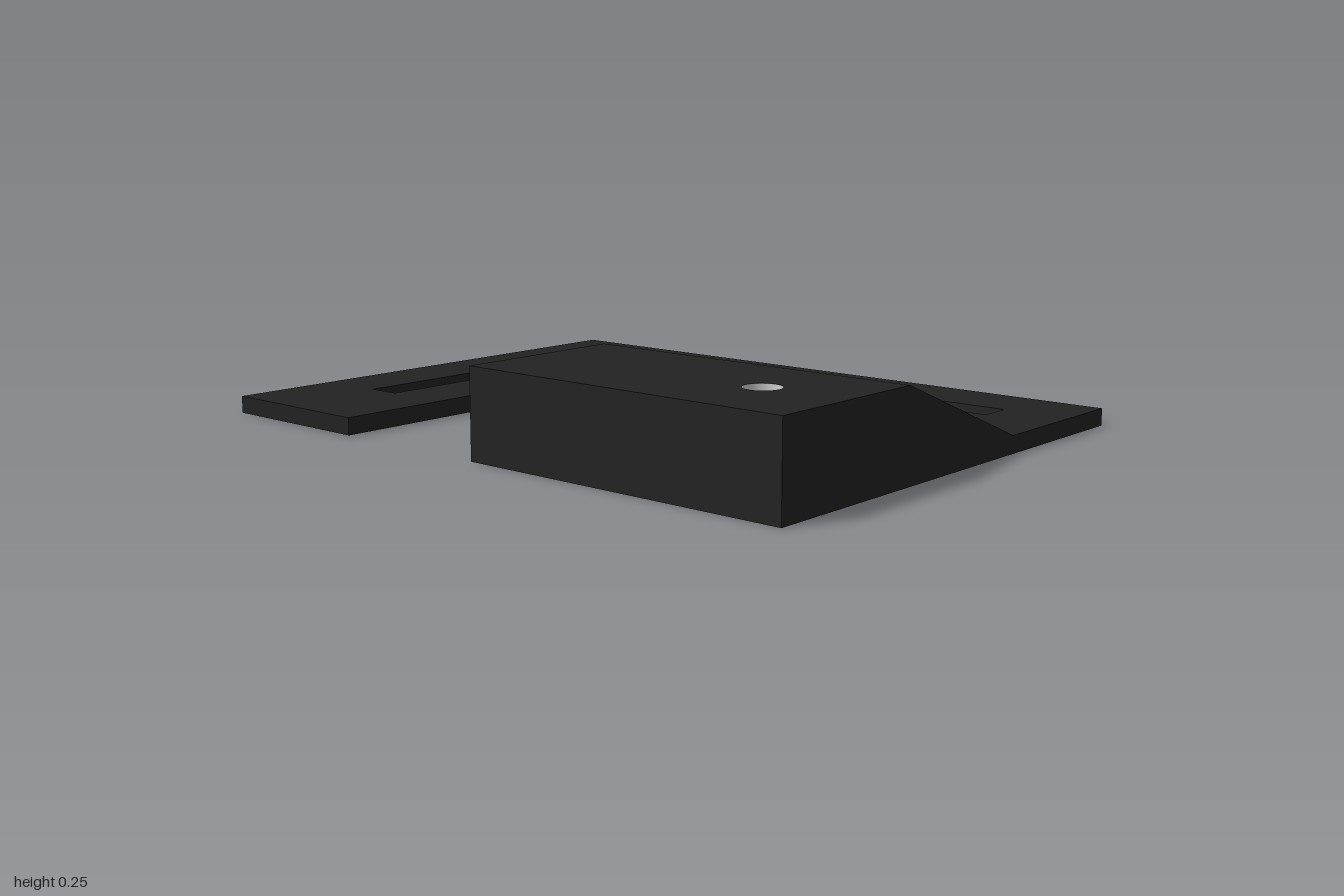
import * as THREE from 'three';

const darkPlastic = new THREE.MeshStandardMaterial({ color: 0x222222 });
darkPlastic.name = 'darkPlastic';
const lightGrey = new THREE.MeshStandardMaterial({ color: 0xcccccc });
lightGrey.name = 'lightGrey';

const outline = (points) => new THREE.Shape(points.map(([x, y]) => new THREE.Vector2(x, y)));
// Rectangle on the floor plan; shape y is -z
const planRect = (x0, x1, z0, z1) => outline([[x0, -z1], [x1, -z1], [x1, -z0], [x0, -z0]]);

// Extrudes a floor plan upward from y0 to y1
function extrudePlan(shape, y0, y1) {
  const geometry = new THREE.ExtrudeGeometry(shape, {
    depth: y1 - y0, bevelEnabled: false, curveSegments: 32,
  });
  return geometry.rotateX(-Math.PI / 2).translate(0, y0, 0);
}

export function createModel() {
  const model = new THREE.Group();
  const add = (name, geometry, material) => {
    const mesh = new THREE.Mesh(geometry, material);
    mesh.name = name;
    model.add(mesh);
  };
  const plateTop = 0.05, blockTop = 0.25;
  const holeX = 0.75, holeZ = 0.5, holeRadius = 0.05, holeFloor = 0.15;

  // U-shaped plate with two through slots
  const plate = outline([
    [-1, -0.75], [-0.5, -0.75], [-0.5, 0.25], [0, 0.25],
    [0, -0.75], [1, -0.75], [1, 0.75], [-1, 0.75],
  ]);
  plate.holes.push(planRect(-0.3, 0.8, -0.55, -0.45), planRect(-0.8, -0.7, -0.18, 0.42));
  add('basePlate', extrudePlan(plate, 0, plateTop), darkPlastic);

  // Raised block with a round hole in its top
  const block = planRect(0, 1, 0.25, 0.75);
  block.holes.push(new THREE.Path().absarc(holeX, -holeZ, holeRadius, 0, Math.PI * 2, true));
  add('raisedBlock', extrudePlan(block, plateTop, blockTop), darkPlastic);

  // Ramp from the plate up to the block; shape x is -z
  const ramp = outline([[-0.25, plateTop], [0.25, plateTop], [-0.25, blockTop]]);
  const rampGeometry = new THREE.ExtrudeGeometry(ramp, { depth: 1, bevelEnabled: false });
  add('ramp', rampGeometry.rotateY(Math.PI / 2), darkPlastic);

  // Light lining of the hole: inward-facing wall and floor
  const liner = holeRadius - 0.0005;
  const wall = new THREE.LatheGeometry(
    [new THREE.Vector2(liner, blockTop), new THREE.Vector2(liner, holeFloor)], 32);
  add('holeWall', wall.translate(holeX, 0, holeZ), lightGrey);
  const floor = new THREE.CircleGeometry(holeRadius, 32).rotateX(-Math.PI / 2);
  add('holeFloor', floor.translate(holeX, holeFloor, holeZ), lightGrey);

  return model;
}
